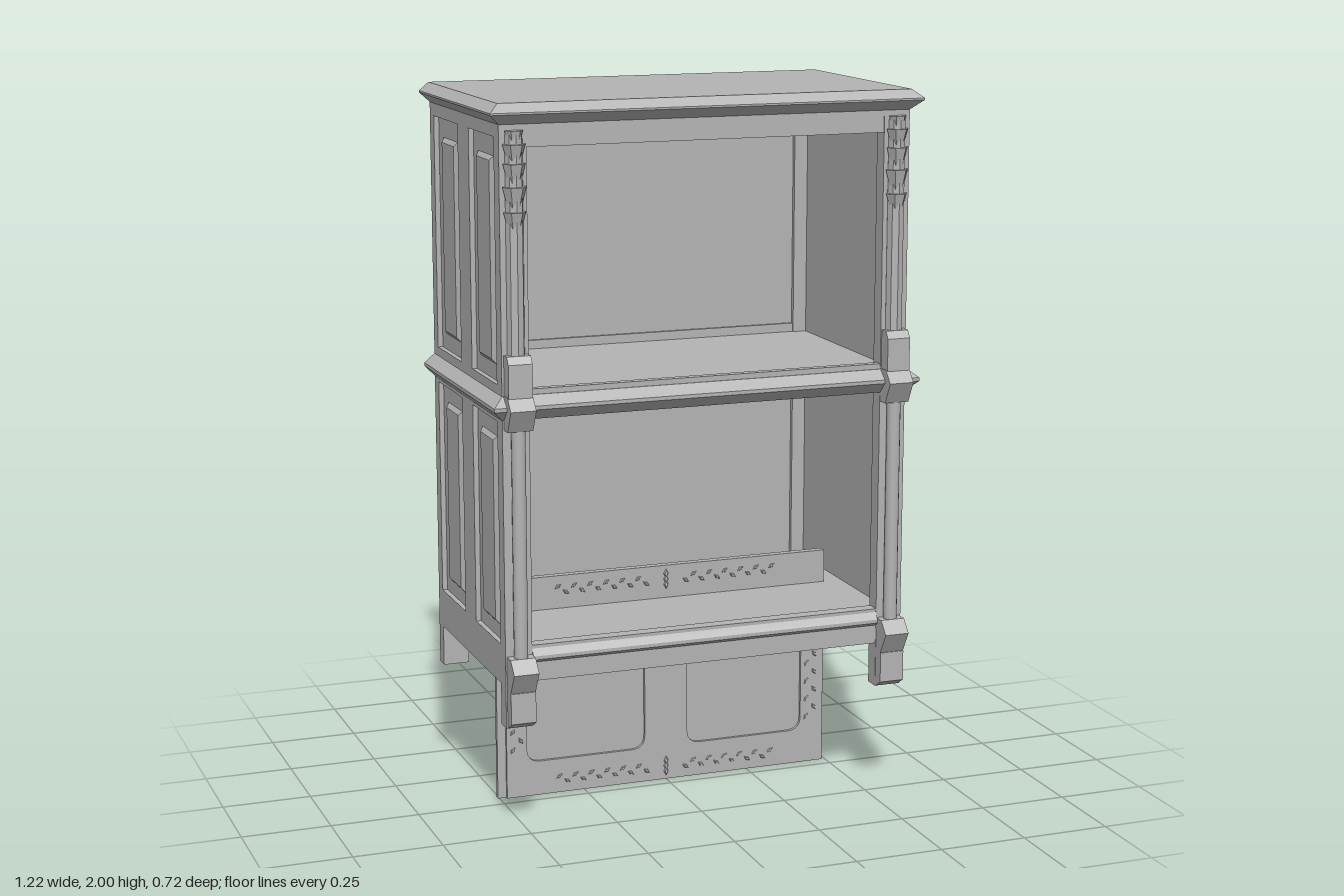
import * as THREE from 'three';
import { ConvexGeometry } from 'three/addons/geometries/ConvexGeometry.js';

const wood = new THREE.MeshStandardMaterial({ color: 0xb4b4b4 });
wood.name = 'plain grey wood';

export function createModel() {
  const root = new THREE.Group();
  root.name = 'cabinet';

  const add = (name, geometry, parent = root) => {
    const mesh = new THREE.Mesh(geometry, wood);
    mesh.name = name;
    parent.add(mesh);
    return mesh;
  };
  // Box given by its extents
  const box = (name, x0, x1, y0, y1, z0, z1, parent) => {
    const m = add(name, new THREE.BoxGeometry(x1 - x0, y1 - y0, z1 - z0), parent);
    m.position.set((x0 + x1) / 2, (y0 + y1) / 2, (z0 + z1) / 2);
    return m;
  };
  const hull = (name, pts, parent) =>
    add(name, new ConvexGeometry(pts.map(p => new THREE.Vector3(...p))), parent);
  // Full-width slab with a moulded edge on the front and sides, flat at the back
  const moulding = (name, profile) => hull(name, profile.flatMap(([o, y]) =>
    [-1, 1].flatMap(s => [[s * (0.58 + o), y, -0.36], [s * (0.58 + o), y, 0.295 + o]])));
  // (z, y) profile swept along x
  const bar = (name, x0, x1, profile, parent) =>
    hull(name, profile.flatMap(([z, y]) => [[x0, y, z], [x1, y, z]]), parent);

  moulding('cornice', [[0, 1.945], [0.016, 1.962], [0.03, 1.972], [0.03, 1.977], [0.003, 2]]);
  moulding('middleShelf', [[0, 1.17], [0.03, 1.2], [0.03, 1.21], [0, 1.235]]);

  // Panelled side with corner posts and front columns, mirrored
  for (const s of [1, -1]) {
    const side = new THREE.Group();
    side.name = s > 0 ? 'leftSide' : 'rightSide';
    root.add(side);
    const sbox = (name, x0, x1, ...rest) =>
      box(name, Math.min(s * x0, s * x1), Math.max(s * x0, s * x1), ...rest, side);

    sbox('frontPost', 0.505, 0.58, 0.325, 1.95, 0.25, 0.295);
    sbox('backPost', 0.505, 0.58, 0.325, 1.95, -0.36, -0.32);
    sbox('middleStile', 0.55, 0.58, 0.5, 1.93, -0.085, 0.02);
    for (const [y0, y1] of [[0.44, 0.55], [1.16, 1.26], [1.91, 1.95]])
      sbox('sideRail', 0.55, 0.58, y0, y1, -0.32, 0.25);
    sbox('sidePanel', 0.545, 0.566, 0.5, 1.945, -0.32, 0.25);

    // Raised fields inside each framed opening
    for (const zc of [0.135, -0.2])
      for (const [y0, y1] of [[0.59, 1.11], [1.305, 1.855]]) {
        const pts = [];
        for (const [x, inset] of [[0.56, 0], [0.566, 0], [0.576, 0.012]])
          for (const dz of [-1, 1])
            for (const y of [y0 + inset, y1 - inset])
              pts.push([s * x, y, zc + dz * (0.07 - inset)]);
        hull('raisedField', pts, side);
      }

    // Pointed blocks on the front of each post
    const xc = s * 0.541, w = 0.035;
    bar('baseBlock', xc - w, xc + w,
      [[0.28, 0.43], [0.325, 0.43], [0.36, 0.49], [0.328, 0.525], [0.28, 0.525]], side);
    bar('shelfBlock', xc - w, xc + w,
      [[0.28, 1.145], [0.328, 1.145], [0.36, 1.205], [0.33, 1.238], [0.28, 1.238]], side);
    bar('columnBase', xc - 0.033, xc + 0.033,
      [[0.28, 1.235], [0.336, 1.235], [0.336, 1.325], [0.322, 1.345], [0.28, 1.345]], side);
    bar('footFront', xc - w, xc + w,
      [[0.28, 0.325], [0.295, 0.325], [0.328, 0.345], [0.328, 0.43], [0.28, 0.43]], side);

    const column = (name, r, y0, y1, z, sides) => {
      const g = new THREE.CylinderGeometry(r, r, y1 - y0, sides);
      const m = add(name, sides < 9 ? g.toNonIndexed() : g, side);
      if (sides < 9) m.geometry.computeVertexNormals();
      m.position.set(xc, (y0 + y1) / 2, z);
    };
    column('lowerColumn', 0.019, 0.52, 1.15, 0.309, 16);
    column('upperColumn', 0.024, 1.34, 1.92, 0.298, 8);

    // Carved drop: cap, rows of leaves and a tapering tip
    const tiers = [[1.93, 1.905, 0.026, 0.02], [1.895, 1.835, 0.033, 0.014],
      [1.845, 1.775, 0.032, 0.014], [1.785, 1.71, 0.034, 0.014], [1.72, 1.62, 0.032, 0.002]];
    for (const [top, bottom, rt, rb] of tiers) {
      const g = new THREE.CylinderGeometry(rt, rb, top - bottom, 6).toNonIndexed();
      g.computeVertexNormals();
      const leaf = add('carvedLeaf', g, side);
      leaf.position.set(xc, (top + bottom) / 2, 0.302);
      leaf.rotation.y = Math.PI / 6;
      leaf.scale.z = 0.9;
    }
  }

  // Front rails and floor
  box('topRail', -0.505, 0.505, 1.885, 1.95, 0.255, 0.293);
  box('shelfLip', -0.505, 0.505, 1.235, 1.25, 0.27, 0.293);
  box('bottomRail', -0.505, 0.505, 0.45, 0.55, 0.255, 0.293);
  bar('bottomMoulding', -0.505, 0.505,
    [[0.29, 0.5], [0.306, 0.512], [0.306, 0.522], [0.29, 0.545]]);
  box('lowerFloor', -0.548, 0.548, 0.5, 0.545, -0.325, 0.26);

  // Framed back
  for (const [y0, y1] of [[0.44, 0.55], [1.165, 1.26], [1.925, 1.95]])
    box('backRail', -0.505, 0.505, y0, y1, -0.36, -0.325);
  box('backPanel', -0.51, 0.51, 0.5, 1.945, -0.348, -0.333);

  // Loose door panel with two round-cornered recesses
  const door = new THREE.Group();
  door.name = 'doorPanel';
  root.add(door);
  box('doorBacking', -0.505, 0.49, 0, 0.64, -0.061, -0.047, door);
  const rect = (path, x0, x1, y0, y1, r) => {
    path.moveTo(x0 + r, y0);
    path.lineTo(x1 - r, y0).quadraticCurveTo(x1, y0, x1, y0 + r);
    path.lineTo(x1, y1 - r).quadraticCurveTo(x1, y1, x1 - r, y1);
    path.lineTo(x0 + r, y1).quadraticCurveTo(x0, y1, x0, y1 - r);
    path.lineTo(x0, y0 + r).quadraticCurveTo(x0, y0, x0 + r, y0);
    return path;
  };
  const frame = new THREE.Shape([[-0.48, 0], [0.49, 0], [0.49, 0.64], [-0.48, 0.64]]
    .map(p => new THREE.Vector2(...p)));
  for (const [x0, x1] of [[-0.42, -0.065], [0.065, 0.42]])
    frame.holes.push(rect(new THREE.Path(), x0, x1, 0.1, 0.54, 0.04));
  const face = add('doorFrame',
    new THREE.ExtrudeGeometry(frame, { depth: 0.01, bevelEnabled: false, curveSegments: 6 }), door);
  face.position.z = -0.048;

  // Small carved leaves along the door frame
  const leafGeo = new THREE.CylinderGeometry(0.005, 0.008, 0.004, 4).rotateX(Math.PI / 2).scale(0.7, 1.4, 1)
    .toNonIndexed();
  leafGeo.computeVertexNormals();
  const carve = (x, y, turn, size = 1) => {
    const m = add('doorCarving', leafGeo, door);
    m.position.set(x, y, -0.036);
    m.rotation.z = turn;
    m.scale.set(size, size, 1);
  };
  for (let i = 0; i < 12; i++) {
    const t = i % 2 ? 0.6 : -0.6, d = i % 2 ? 0.012 : -0.012;
    for (const s of [1, -1]) {
      carve(s * 0.45 + d, 0.14 + i * 0.027, t);
      for (const y of [0.04, 0.6]) carve(s * (0.06 + i * 0.024), y + d * 0.7, t + Math.PI / 2);
    }
  }
  for (const y of [0.04, 0.6])
    for (const dy of [-0.016, 0, 0.016]) carve(0, y + dy, 0, 1.3);

  return root;
}
